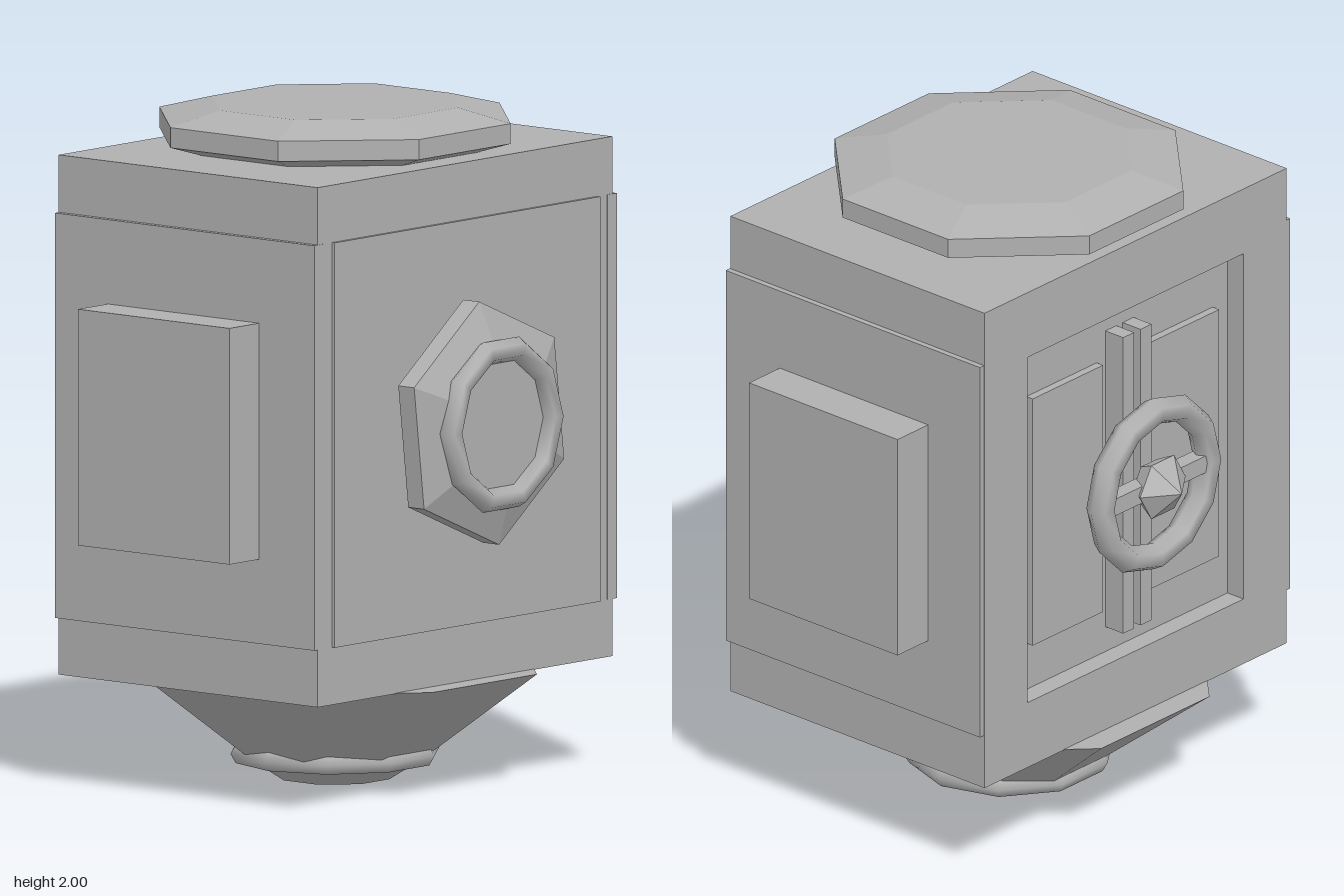
import * as THREE from 'three';

export function createModel() {
  const model = new THREE.Group();
  model.name = 'pod';
  const grey = new THREE.MeshStandardMaterial({ color: 0xb0b0b0 });
  grey.name = 'grey metal';

  function add(name, geometry, x = 0, y = 0, z = 0, parent = model) {
    const mesh = new THREE.Mesh(geometry, grey);
    mesh.name = name;
    mesh.position.set(x, y, z);
    parent.add(mesh);
    return mesh;
  }

  // Box given by its limits on each axis
  function box(name, x0, x1, y0, y1, z0, z1, parent = model) {
    const g = new THREE.BoxGeometry(x1 - x0, y1 - y0, z1 - z0);
    return add(name, g, (x0 + x1) / 2, (y0 + y1) / 2, (z0 + z1) / 2, parent);
  }

  // Faceted turned shape; the profile runs from bottom to top as [radius, height]
  function faceted(profile, sides, phi) {
    const points = profile.map(([r, h]) => new THREE.Vector2(r, h));
    const g = new THREE.LatheGeometry(points, sides, phi).toNonIndexed();
    g.computeVertexNormals();
    return g;
  }
  // Octagon with sides parallel to the axes, sized by its half width
  const octagon = (profile) =>
    faceted(profile.map(([w, h]) => [w / Math.cos(Math.PI / 8), h]), 8, Math.PI / 8);

  const midY = 1.105;

  // Main body, with a frame around the recessed back door
  box('body', -0.665, 0.665, 0.33, 1.87, -0.43, 0.505);
  const rect = (shape, x0, x1, y0, y1) =>
    shape.moveTo(x0, y0).lineTo(x1, y0).lineTo(x1, y1).lineTo(x0, y1).closePath();
  const frame = new THREE.Shape();
  rect(frame, -0.665, 0.665, 0.33, 1.87);
  const opening = new THREE.Path();
  rect(opening, -0.475, 0.475, 0.54, 1.66);
  frame.holes.push(opening);
  add('doorFrame', new THREE.ExtrudeGeometry(frame, { depth: 0.063, bevelEnabled: false }), 0, 0, -0.493);

  // Front plate
  box('frontPlate', -0.6, 0.6, 0.5, 1.7, 0.49, 0.515);

  // Mirrored side plates, side boxes, door panels and door bars
  for (const s of [1, -1]) {
    const side = s > 0 ? 'left' : 'right';
    const mirrored = (name, a, b, ...rest) =>
      box(side + name, Math.min(s * a, s * b), Math.max(s * a, s * b), ...rest);
    mirrored('Plate', 0.64, 0.683, 0.5, 1.7, -0.491, 0.507);
    mirrored('SideBox', 0.66, 0.818, 0.75, 1.45, -0.288, 0.295);
    mirrored('DoorPanel', 0.1, 0.41, 0.69, 1.49, -0.455, -0.42);
    mirrored('DoorBar', 0.014, 0.062, 0.62, 1.58, -0.5, -0.42);
  }

  // Top hatch
  add('topHatch', octagon([[0, 1.865], [0.39, 1.865], [0.5, 1.9], [0.5, 1.96], [0.35, 2], [0, 2]]), 0, 0, 0.004);

  // Bottom funnel and its ring
  add('bottomFunnel', octagon([[0, 0], [0.155, 0], [0.235, 0.055], [0.28, 0.09], [0.575, 0.332], [0, 0.332]]), 0, 0, 0.004);
  const bottomRing = new THREE.TorusGeometry(0.283, 0.032, 6, 10);
  bottomRing.rotateX(Math.PI / 2);
  add('bottomRing', bottomRing, 0, 0.078, 0.004);

  // Front six-sided port and its ring
  const port = faceted(
    [[0, 0.51], [0.33, 0.51], [0.368, 0.537], [0.368, 0.598], [0.25, 0.64], [0, 0.64]],
    6, THREE.MathUtils.degToRad(7));
  port.rotateX(Math.PI / 2);
  add('frontPort', port, 0, midY, 0);
  add('frontPortRing', new THREE.TorusGeometry(0.229, 0.036, 6, 10), 0, midY, 0.643);

  // Door wheel: rim, crossbar and pointed hub
  const wheel = new THREE.Group();
  wheel.name = 'doorWheel';
  wheel.position.set(0, midY, -0.565);
  model.add(wheel);
  add('wheelRim', new THREE.TorusGeometry(0.235, 0.042, 6, 12), 0, 0, 0, wheel);
  box('wheelBar', -0.225, 0.225, -0.027, 0.027, -0.025, 0.025, wheel);
  const hub = faceted([[0, -0.02], [0.07, -0.02], [0.1, 0.035], [0, 0.11]], 6, Math.PI / 6);
  hub.rotateX(-Math.PI / 2);
  add('wheelHub', hub, 0, 0, 0, wheel);

  return model;
}
